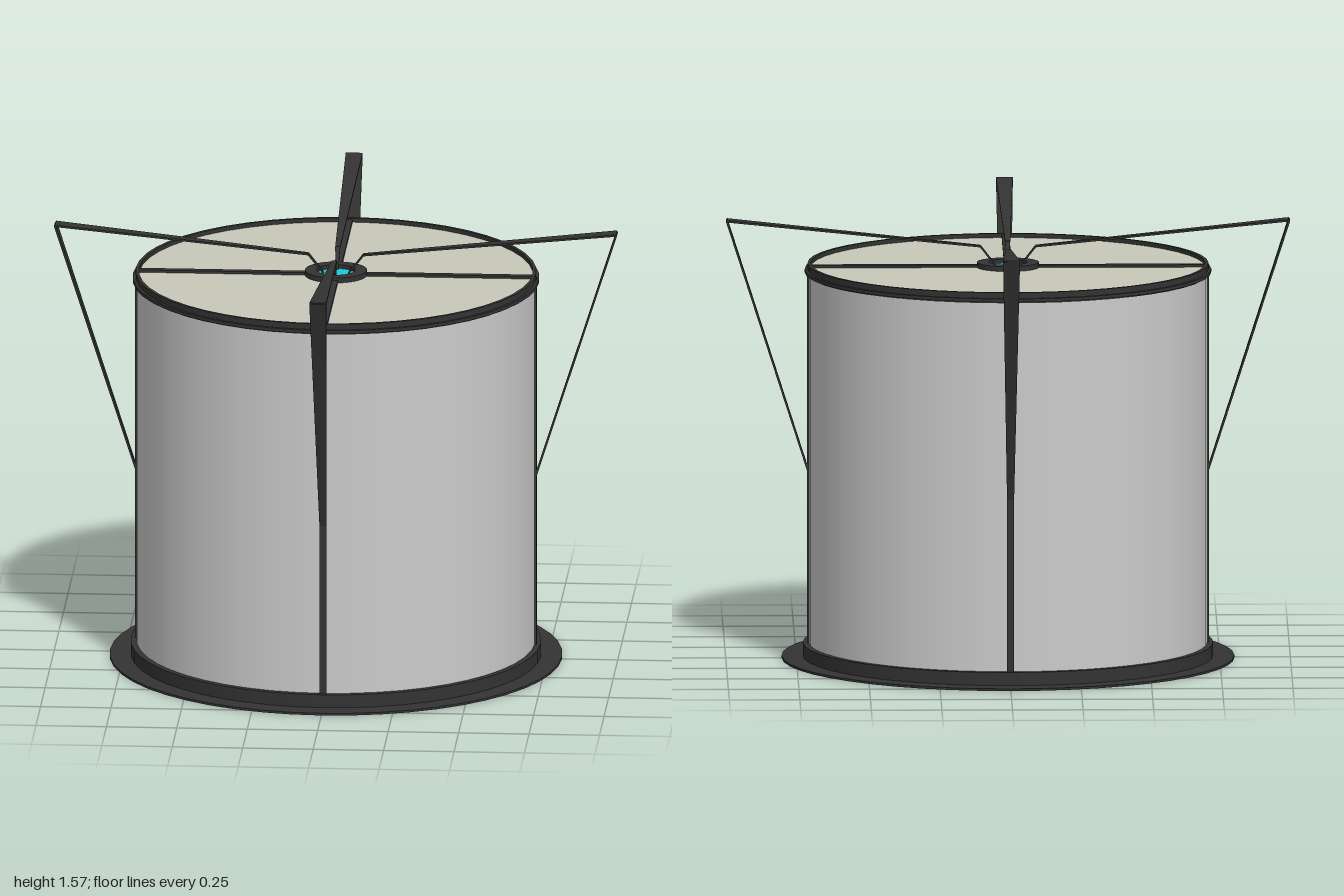
import * as THREE from 'three';
import { toCreasedNormals } from 'three/addons/utils/BufferGeometryUtils.js';

const SEGMENTS = 48;
const dark = new THREE.MeshStandardMaterial({ color: 0x333333 });
const wall = new THREE.MeshStandardMaterial({ color: 0xcccccc, side: THREE.DoubleSide });
const cream = new THREE.MeshStandardMaterial({ color: 0xc8c9ba, side: THREE.DoubleSide });
const cyan = new THREE.MeshStandardMaterial({ color: 0x22c8d6, side: THREE.DoubleSide });

function part(name, geometry, material) {
  const mesh = new THREE.Mesh(geometry, material);
  mesh.name = name;
  return mesh;
}

// Solid ring with a rectangular section
function ring(name, inner, outer, bottom, top, segments = SEGMENTS) {
  const profile = [[inner, bottom], [outer, bottom], [outer, top], [inner, top], [inner, bottom]]
    .map(([r, y]) => new THREE.Vector2(r, y));
  return part(name, toCreasedNormals(new THREE.LatheGeometry(profile, segments), 0.6), dark);
}

// Horizontal disc
function disc(name, radius, y, segments, material) {
  const geometry = new THREE.CircleGeometry(radius, segments).rotateX(-Math.PI / 2);
  return part(name, geometry.translate(0, y, 0), material);
}

// Flat bar in the xy plane, its width along z tapering from a to b
function bar(name, a, b, widthA, widthB, thickness) {
  const dx = b[0] - a[0], dy = b[1] - a[1];
  const length = Math.hypot(dx, dy);
  const geometry = new THREE.BoxGeometry(length, thickness, 1);
  const p = geometry.attributes.position;
  for (let i = 0; i < p.count; i++) p.setZ(i, p.getZ(i) * (p.getX(i) < 0 ? widthA : widthB));
  geometry.computeVertexNormals();
  geometry.rotateZ(Math.atan2(dy, dx));
  geometry.translate((a[0] + b[0]) / 2, (a[1] + b[1]) / 2, 0);
  return part(name, geometry, dark);
}

export function createModel() {
  const model = new THREE.Group();
  model.name = 'drum';

  // Open-bottomed drum with its lid
  const shell = new THREE.CylinderGeometry(0.706, 0.706, 1.39, SEGMENTS, 1, true);
  model.add(part('drumWall', shell.translate(0, 0.7, 0), wall));
  model.add(disc('lid', 0.706, 1.398, SEGMENTS, cream));

  // Base and top rims
  model.add(ring('baseFlange', 0.7, 0.802, 0, 0.008));
  model.add(ring('baseRing', 0.7, 0.727, 0.008, 0.055));
  model.add(ring('topRim', 0.698, 0.71, 1.375, 1.413));
  model.add(ring('topRimLip', 0.698, 0.72, 1.38, 1.392));

  // Hub with a coloured window
  model.add(ring('hubRing', 0.068, 0.11, 1.39, 1.416, 32));
  model.add(disc('hubWindow', 0.07, 1.402, 32, cyan));

  // Four sets of ribs, each carrying an angled fin frame
  for (let i = 0; i < 4; i++) {
    const side = new THREE.Group();
    side.name = 'ribAndFin' + (i + 1);
    side.add(bar('wallRib', [0.706, 0.01], [0.706, 1.4], 0.025, 0.025, 0.012));
    side.add(bar('lidRib', [0.1, 1.4], [0.706, 1.4], 0.027, 0.027, 0.014));
    side.add(bar('finLeg', [0.708, 0.67], [0.996, 1.567], 0.025, 0.06, 0.007));
    side.add(bar('finArm', [0.996, 1.567], [0.098, 1.473], 0.06, 0.018, 0.007));
    side.add(bar('finFoot', [0.098, 1.473], [0.045, 1.405], 0.018, 0.01, 0.006));
    side.rotation.y = i * Math.PI / 2;
    model.add(side);
  }
  return model;
}
